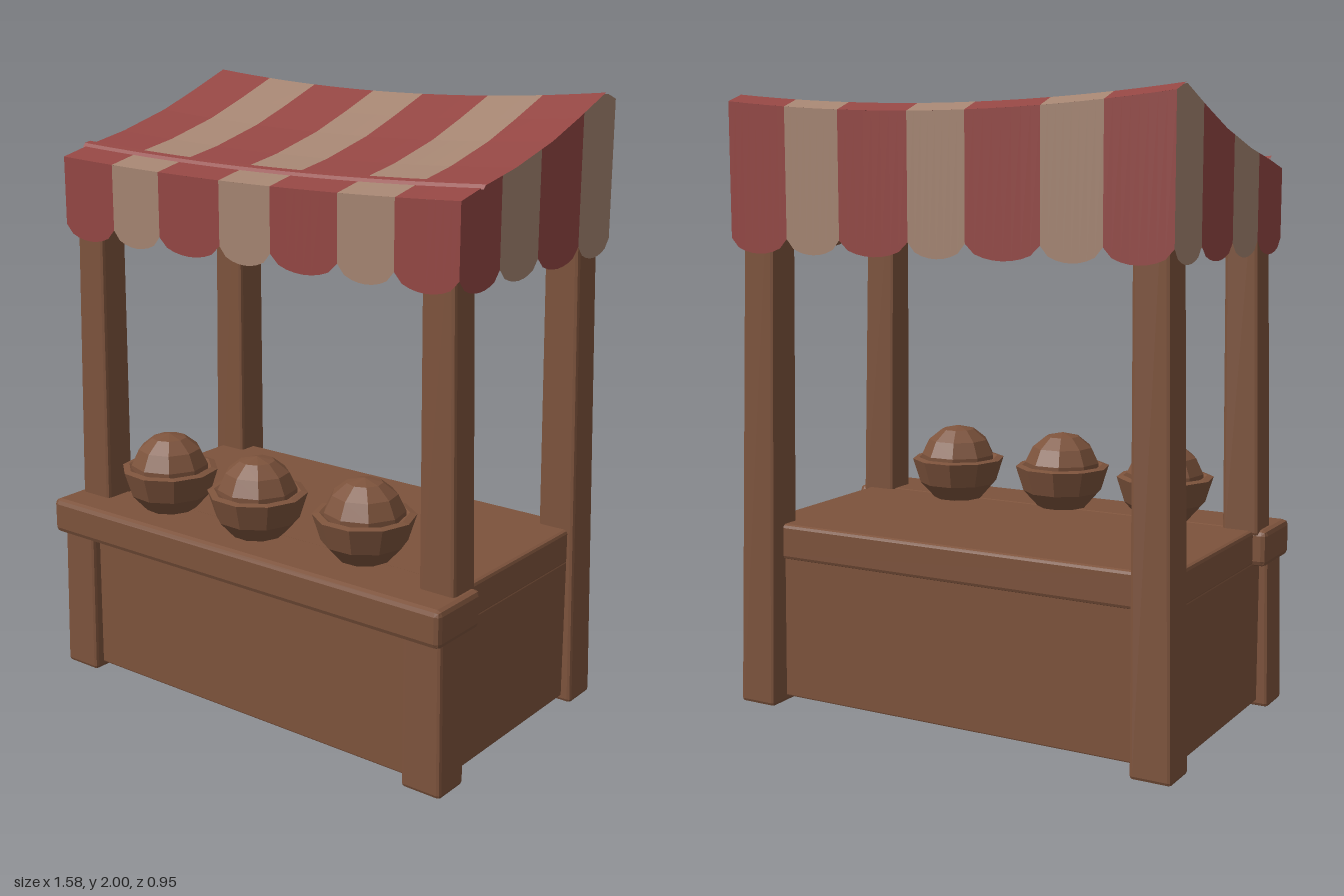
import * as THREE from 'three';
import { RoundedBoxGeometry } from 'three/addons/geometries/RoundedBoxGeometry.js';

const flat = (name, color) => {
  const m = new THREE.MeshStandardMaterial({ color, flatShading: true });
  m.name = name;
  return m;
};

export function createModel() {
  const model = new THREE.Group();
  model.name = 'marketStall';
  const wood = flat('wood brown', 0x7d533c);
  const red = flat('cloth red', 0x934643);
  const cream = flat('cloth cream', 0xa48471);

  const add = (name, geometry, material, parent = model) => {
    const mesh = new THREE.Mesh(geometry, material);
    mesh.name = name;
    parent.add(mesh);
    return mesh;
  };

  // Board between two corners, with slightly softened edges
  const board = (name, [x0, y0, z0], [x1, y1, z1], r = 0.012) => {
    const g = new RoundedBoxGeometry(x1 - x0, y1 - y0, z1 - z0, 1, r);
    g.translate((x0 + x1) / 2, (y0 + y1) / 2, (z0 + z1) / 2);
    return add(name, g, wood);
  };

  // Post tapering between two rectangles [x0, x1, z0, z1], mirrored by side
  const post = (name, y0, y1, low, high, side) => {
    const g = new RoundedBoxGeometry(1, y1 - y0, 1, 1, 0.012);
    const p = g.attributes.position;
    // keep the edge softening the same size after stretching
    const place = (v, a, b) => {
      const edge = 0.5 - Math.abs(v);
      return v < 0 ? a + edge : b - edge;
    };
    for (let i = 0; i < p.count; i++) {
      const t = p.getY(i) / (y1 - y0) + 0.5;
      const [x0, x1, z0, z1] = low.map((v, k) => THREE.MathUtils.lerp(v, high[k], t));
      const x = place(p.getX(i) * (side), x0, x1) * side;
      p.setXYZ(i, x, p.getY(i) + (y0 + y1) / 2, place(p.getZ(i), z0, z1));
    }
    add(name, g, wood);
  };

  // Counter
  board('counterFrontBar', [-0.79, 0.49, 0.25], [0.79, 0.61, 0.475], 0.018);
  board('counterDeck', [-0.745, 0.49, -0.41], [0.745, 0.608, 0.3]);
  board('frontPanel', [-0.7, 0.02, 0.37], [0.7, 0.5, 0.41], 0.005);
  board('backPanel', [-0.7, 0.02, -0.4], [0.7, 0.5, -0.36], 0.005);
  for (const s of [-1, 1]) {
    const x = s * 0.725;
    board('sidePanel', [x - 0.02, 0.02, -0.38], [x + 0.02, 0.5, 0.39], 0.005);
    post('frontLeg', 0, 0.5, [0.645, 0.785, 0.315, 0.445], [0.64, 0.775, 0.315, 0.44], s);
    post('frontPost', 0.59, 1.76, [0.64, 0.765, 0.245, 0.36], [0.625, 0.735, 0.25, 0.355], s);
    post('backPost', 0, 1.9, [0.645, 0.78, -0.472, -0.34], [0.62, 0.735, -0.44, -0.325], s);
  }

  // Heaped bowls
  const bowlProfile = [[0, 0.61], [0.085, 0.61], [0.135, 0.665], [0.162, 0.75], [0.14, 0.755], [0.1, 0.735]]
    .map(([r, y]) => new THREE.Vector2(r, y));
  [[-0.42, 0.285, 0.2], [-0.03, 0.295, 0.9], [0.365, 0.255, 1.6]].forEach(([x, z, turn]) => {
    const bowl = new THREE.Group();
    bowl.name = 'filledBowl';
    bowl.position.set(x, 0, z);
    bowl.rotation.y = turn;
    add('bowl', new THREE.LatheGeometry(bowlProfile, 10), wood, bowl);
    const heap = add('heap', new THREE.SphereGeometry(0.132, 9, 7), wood, bowl);
    heap.position.y = 0.735;
    model.add(bowl);
  });

  // Canopy: height of the sagging cloth at any x, z
  const W = 0.768, FRONT = 0.378, BACK = -0.474;
  const ridge = [[0.378, 1.765], [0.26, 1.793], [0.1, 1.825], [-0.1, 1.88], [-0.25, 1.935], [-0.41, 1.998], [-0.474, 1.975]];
  const roofY = (x, z) => {
    let i = 0;
    while (i < ridge.length - 2 && z < ridge[i + 1][0]) i++;
    const [za, ya] = ridge[i], [zb, yb] = ridge[i + 1];
    const y = ya + (yb - ya) * (z - za) / (zb - za);
    const sag = THREE.MathUtils.mapLinear(z, FRONT, BACK, 0.02, 0.042);
    return y - sag * (1 - (x / W) ** 2);
  };

  // Grid surface through f(u, v); it faces u cross v
  const sheet = (us, vs, f) => {
    const pos = [], idx = [], n = us.length;
    for (const v of vs) for (const u of us) pos.push(...f(u, v));
    for (let j = 0; j < vs.length - 1; j++) {
      for (let i = 0; i < n - 1; i++) {
        const a = j * n + i;
        idx.push(a, a + 1, a + n + 1, a, a + n + 1, a + n);
      }
    }
    const g = new THREE.BufferGeometry();
    g.setAttribute('position', new THREE.Float32BufferAttribute(pos, 3));
    g.setIndex(idx);
    g.computeVertexNormals();
    return g;
  };
  const steps = (a, b, n) => Array.from({ length: n + 1 }, (_, i) => a + (b - a) * i / n);

  const canopy = new THREE.Group();
  canopy.name = 'canopy';
  model.add(canopy);
  const xStripes = [-W, -0.55, -0.35, -0.1, 0.1, 0.35, 0.55, W];
  const zStripes = [FRONT, 0.17, -0.04, -0.28, BACK];
  const zs = ridge.map(([z]) => z);

  // Striped roof, with a plain lining and a hem across the front
  for (let i = 0; i < 7; i++) {
    add('roofStripe', sheet(steps(xStripes[i], xStripes[i + 1], 3), zs, (x, z) => [x, roofY(x, z), z]), i % 2 ? cream : red, canopy);
  }
  add('roofLining', sheet(steps(W, -W, 12), zs, (x, z) => [x, roofY(x, z) - 0.015, z]), red, canopy);
  add('roofHem', sheet(steps(-W - 0.01, W + 0.01, 12), [0.282, 0.272, 0.25, 0.24],
    (x, z) => [x, roofY(x, z) + (z > 0.245 && z < 0.28 ? 0.008 : -0.002), z]), red, canopy);

  // One scalloped flap from a to b along a wall; at(s, inset) gives its x, z
  const flap = (a, b, material, at) => {
    const hem = (s) => 1.545 - 0.048 * Math.sqrt(Math.sin(Math.PI * THREE.MathUtils.clamp((s - a) / (b - a), 0, 1)));
    const point = (inset) => (s, v) => {
      const [x, z] = at(s, inset);
      const top = roofY(x, z) - inset * 0.5;
      return [x, hem(s) + (top - hem(s)) * v, z];
    };
    add('valanceFlap', sheet(steps(a, b, 8), [0, 1], point(0)), material, canopy);
    add('valanceLining', sheet(steps(b, a, 8), [0, 1], point(0.012)), wood, canopy);
  };
  for (let i = 0; i < 7; i++) {
    const m = i % 2 ? cream : red, a = xStripes[i], b = xStripes[i + 1];
    flap(a, b, m, (s, d) => [s, FRONT - d]);
    flap(b, a, m, (s, d) => [s, BACK + d]);
  }
  for (let i = 0; i < 4; i++) {
    const m = i % 2 ? cream : red, a = zStripes[i], b = zStripes[i + 1];
    flap(a, b, m, (s, d) => [W - d, s]);
    flap(b, a, m, (s, d) => [d - W, s]);
  }
  return model;
}
